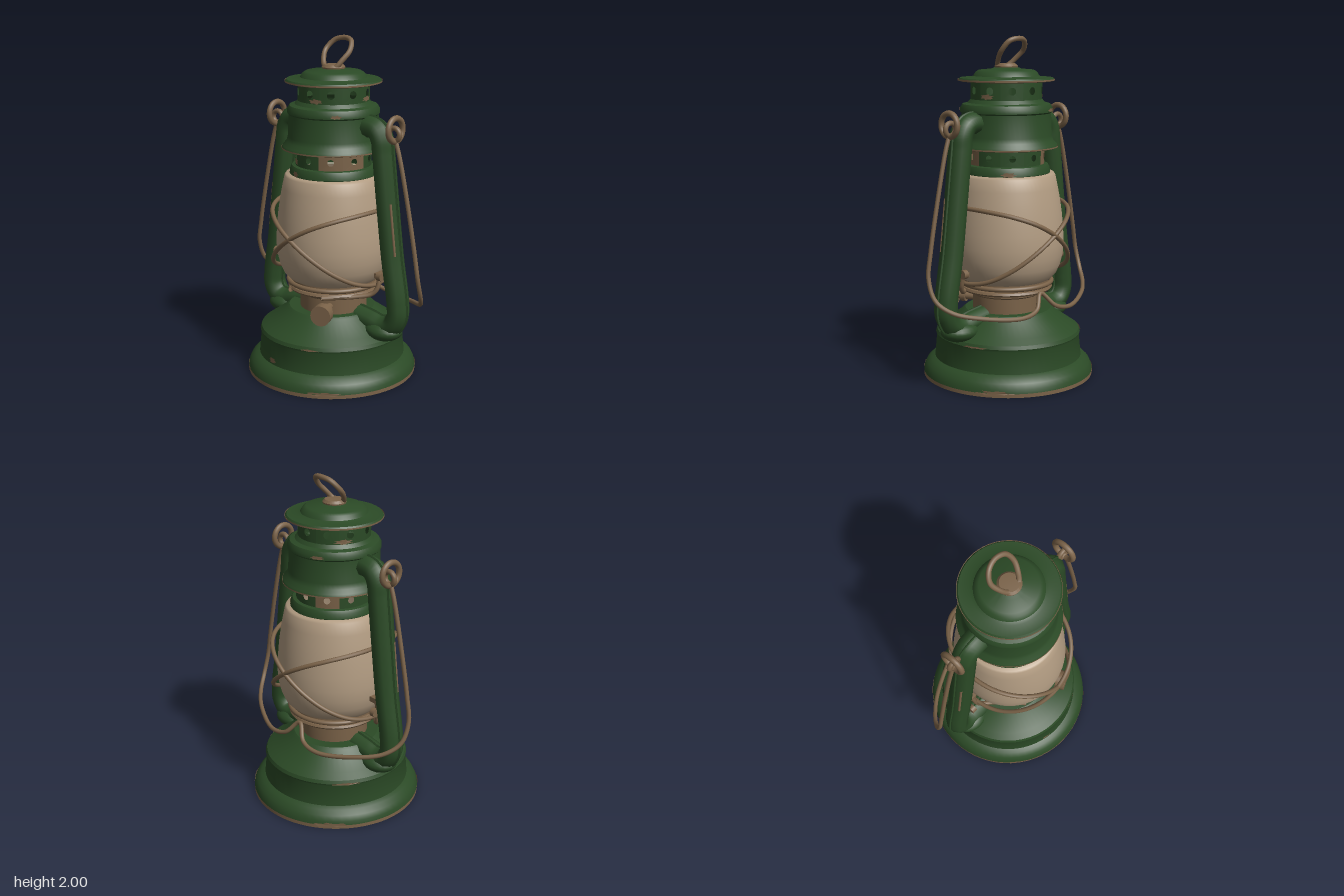
import * as THREE from 'three';
import { toCreasedNormals } from 'three/addons/utils/BufferGeometryUtils.js';

const material = (name, color) => {
  const m = new THREE.MeshStandardMaterial({ color, side: THREE.DoubleSide });
  m.name = name;
  return m;
};
const V = (x, y, z = 0) => new THREE.Vector3(x, y, z);

export function createModel() {
  const green = material('green paint', 0x2b4a26);
  const brown = material('worn metal', 0x7a6248);
  const frosted = material('frosted glass', 0xb29c82);

  const model = new THREE.Group();
  model.name = 'lantern';
  const body = new THREE.Group();
  body.name = 'lanternBody';
  body.position.x = -0.008;
  model.add(body);

  const add = (name, geometry, mat, parent = body) => {
    const mesh = new THREE.Mesh(geometry, mat);
    mesh.name = name;
    parent.add(mesh);
    return mesh;
  };
  const turned = (name, profile, mat, parent = body, crease = 0.55) => {
    const lathe = new THREE.LatheGeometry(profile.map(([r, y]) => new THREE.Vector2(r, y)), 64);
    return add(name, toCreasedNormals(lathe, crease), mat, parent);
  };
  const wire = (name, points, radius, closed = false, mat = brown, parent = body) => {
    const curve = new THREE.CatmullRomCurve3(points, closed, 'centripetal');
    return add(name, new THREE.TubeGeometry(curve, points.length * 9, radius, 10, closed), mat, parent);
  };

  // Fuel tank with worn bottom rim
  const tank = new THREE.Group();
  tank.name = 'fuelTank';
  tank.position.x = -0.014;
  body.add(tank);
  turned('tankRim', [[0.485, 0], [0.506, 0], [0.506, 0.022]], brown, tank);
  turned('tank', [[0, 0.004], [0.485, 0.004], [0.485, 0.01], [0.506, 0.022], [0.502, 0.045], [0.488, 0.075],
    [0.462, 0.1], [0.438, 0.112], [0.426, 0.24], [0.432, 0.255], [0.424, 0.275], [0.385, 0.302],
    [0.285, 0.372], [0.268, 0.39], [0.255, 0.4], [0, 0.404]], green, tank);

  // Burner under the globe
  turned('burner', [[0.2, 0.39], [0.2, 0.49], [0.215, 0.5], [0.215, 0.515], [0.265, 0.52], [0.272, 0.53],
    [0.265, 0.542], [0.225, 0.545], [0.235, 0.565], [0.255, 0.572], [0.255, 0.582], [0, 0.582]], brown);

  // Glass globe
  turned('globe', [[0.235, 0.572], [0.268, 0.588], [0.298, 0.62], [0.32, 0.67], [0.334, 0.73], [0.34, 0.8],
    [0.336, 0.88], [0.328, 0.97], [0.315, 1.06], [0.302, 1.13], [0.287, 1.2], [0.278, 1.212], [0.22, 1.214]],
  frosted, body, 1);
  turned('globeCollar', [[0.25, 1.205], [0.257, 1.215], [0.253, 1.245], [0.243, 1.262], [0.218, 1.266]], green);

  // Perforated bands: each cell wraps a plane around one round hole
  const perforated = (name, r, yMid, halfHeight, holeRadius, wornCells) => {
    const band = new THREE.Group();
    band.name = name;
    body.add(band);
    const halfWidth = r * Math.PI / 10;
    for (let i = 0; i < 10; i++) {
      const g = new THREE.PlaneGeometry(1, 1, 32, 2);
      const p = g.attributes.position;
      for (let k = 0; k < p.count; k++) {
        const t = (p.getX(k) + 0.5) * 4, side = Math.floor(t + 1e-6) % 4, f = (t % 1) * 2 - 1;
        const [sx, sy] = [[f, -1], [1, f], [-f, 1], [-1, -f]][side];
        const ex = sx * halfWidth, ey = sy * halfHeight;
        const hole = holeRadius / Math.hypot(ex, ey);
        const s = THREE.MathUtils.lerp(hole, 1, p.getY(k) + 0.5);
        const a = i * Math.PI / 5 + ex * s / r;
        p.setXYZ(k, Math.sin(a) * r, yMid + ey * s, Math.cos(a) * r);
      }
      g.computeVertexNormals();
      add('bandCell', g, wornCells.includes(i) ? brown : green, band);
    }
  };
  perforated('lowerVentBand', 0.222, 1.312, 0.052, 0.019, [1, 2, 6]);
  perforated('upperVentBand', 0.208, 1.692, 0.056, 0.022, []);

  // Hood with flared skirt
  turned('hood', [[0.218, 1.36], [0.29, 1.362], [0.3, 1.368], [0.295, 1.38], [0.274, 1.402], [0.266, 1.43],
    [0.26, 1.56], [0.268, 1.568], [0.268, 1.59], [0.255, 1.612], [0.225, 1.62], [0.208, 1.64]], green);
  turned('hoodEdge', [[0.288, 1.358], [0.302, 1.362], [0.302, 1.37]], brown);

  // Chimney cap
  turned('cap', [[0.205, 1.738], [0.272, 1.744], [0.278, 1.752], [0.27, 1.762], [0.21, 1.765], [0.192, 1.772],
    [0.178, 1.795], [0.16, 1.806], [0.09, 1.812], [0.07, 1.82], [0, 1.822]], green);
  turned('capEdge', [[0.268, 1.742], [0.281, 1.746], [0.281, 1.755]], brown);

  // Lifting ring on the cap, leaning backwards
  turned('ringSeat', [[0.065, 1.812], [0.068, 1.828], [0.055, 1.842], [0, 1.845]], brown);
  wire('liftingRing', [V(-0.04, 1.83, 0.03), V(-0.075, 1.87, 0), V(-0.095, 1.92, -0.045), V(-0.06, 1.972, -0.085),
    V(0, 1.986, -0.1), V(0.06, 1.972, -0.085), V(0.082, 1.92, -0.045), V(0.065, 1.87, 0), V(0.04, 1.83, 0.03),
    V(0, 1.825, 0.045)], 0.015, true);

  // Air tubes, seams, pivots and brackets on both sides
  for (const s of [1, -1]) {
    const side = new THREE.Group();
    side.name = s > 0 ? 'leftFrame' : 'rightFrame';
    body.add(side);
    const path = [V(0.2, 1.5), V(0.27, 1.515), V(0.325, 1.5), V(0.357, 1.45), V(0.368, 1.37), V(0.4, 1.1),
      V(0.44, 0.78), V(0.482, 0.52), V(0.482, 0.43), V(0.445, 0.37), V(0.38, 0.35), V(0.3, 0.365), V(0.2, 0.38)]
      .map((p) => V(p.x * s, p.y));
    wire('airTube', path, 0.063, false, green, side).scale.z = 1.15;
    wire('tubeSeam', path, 0.071, false, green, side).scale.z = 0.16;
    // Worn strip along the outer front edge of the tube
    wire('wornStrip', [V(0.448, 1.1, 0.038), V(0.484, 0.8, 0.038)].map((p) => V(p.x * s, p.y, p.z)),
      0.008, false, brown, side);
    // Foot fairing on the tank
    const foot = add('tubeFoot', new THREE.SphereGeometry(1, 24, 12), green, side);
    foot.scale.set(0.12, 0.06, 0.1);
    foot.position.set(0.38 * s, 0.325, 0);

    const lug = add('pivotLug', new THREE.TorusGeometry(0.036, 0.015, 10, 24), brown, side);
    lug.position.set(0.44 * s, 1.49, 0);
    const eye = add('bailEye', new THREE.TorusGeometry(0.066, 0.017, 10, 28), brown, side);
    eye.rotation.y = Math.PI / 2;
    eye.position.set(0.448 * s, 1.515, 0);

    // Bracket for the globe lifter
    const y = s > 0 ? 0.655 : 0.725;
    const bracket = add('lifterBracket', new THREE.BoxGeometry(0.1, 0.03, 0.07), brown, side);
    bracket.position.set(0.385 * s, y, 0);
    for (const z of [-0.06, 0.06]) {
      const stud = add('bracketStud', new THREE.CylinderGeometry(0.026, 0.026, 0.03, 16), brown, side);
      stud.rotation.z = Math.PI / 2;
      stud.position.set(0.4 * s, 0.67, z);
    }
    wire('lifterArm', [V(0.35 * s, y, 0), V(0.347 * s, y - 0.08, 0.02), V(0.32 * s, 0.54, 0.04),
      V(0.25 * s, 0.525, 0.1), V(0.12 * s, 0.525, 0.25)], 0.014, false, brown, side);
  }

  // Crossed guard wires: two tilted oval hoops
  for (const s of [1, -1]) {
    const points = [];
    for (let i = 0; i < 16; i++) {
      const a = i * Math.PI / 8, x = Math.sin(a);
      points.push(V(0.33 * x, 0.885 + 0.22 * x * s - 0.07 * x * x, 0.39 * Math.cos(a)));
    }
    wire('guardWire', points, 0.013, true);
  }
  const ring = add('guardRing', new THREE.TorusGeometry(0.268, 0.014, 10, 48), brown);
  ring.rotation.x = Math.PI / 2;
  ring.position.y = 0.565;

  // Carrying bail hanging behind the lantern
  const half = [V(0.448, 1.46, 0), V(0.48, 1.36, 0), V(0.54, 1.1, 0), V(0.595, 0.82, 0), V(0.617, 0.67, -0.005),
    V(0.607, 0.55, -0.05), V(0.55, 0.485, -0.125), V(0.43, 0.45, -0.22), V(0.2, 0.425, -0.325), V(0.08, 0.45, -0.325)];
  wire('bail', [...half, V(0, 0.53, -0.28), ...half.map((p) => V(-p.x, p.y, p.z)).reverse()], 0.013);

  // Wick knob and shaft
  const knob = new THREE.Group();
  knob.name = 'wickKnob';
  knob.position.set(0.11, 0.45, 0.17);
  knob.rotation.y = 0.4;
  body.add(knob);
  for (const [name, r, len, z] of [['shaft', 0.022, 0.15, 0.05], ['shaftNut', 0.035, 0.03, 0.06], ['knobDisc', 0.06, 0.06, 0.14]]) {
    const part = add(name, new THREE.CylinderGeometry(r, r, len, 24), brown, knob);
    part.rotation.x = Math.PI / 2;
    part.position.z = z;
  }

  // Paint chips: thin ragged patches (radius, height, angle, half width, half height)
  const chip = (r, y, angle, w, h, parent) => {
    const g = new THREE.CircleGeometry(1, 14), p = g.attributes.position;
    for (let k = 0; k < p.count; k++) {
      const ragged = 1 + 0.3 * Math.sin((k % 14) * 2.7 + angle * 5);
      const a = angle + p.getX(k) * ragged * w / r;
      p.setXYZ(k, Math.sin(a) * r, y + p.getY(k) * ragged * h, Math.cos(a) * r);
    }
    g.computeVertexNormals();
    add('paintChip', g, brown, parent);
  };
  [[0.437, 0.135, -0.22, 0.03, 0.016], [0.508, 0.024, -0.75, 0.08, 0.015], [0.508, 0.026, 0.6, 0.1, 0.012],
    [0.508, 0.024, 2.2, 0.09, 0.014], [0.508, 0.024, 3.9, 0.1, 0.014], [0.435, 0.258, 0.4, 0.05, 0.006],
    [0.435, 0.258, 1.9, 0.07, 0.006], [0.435, 0.256, 4.1, 0.08, 0.007]].forEach((c) => chip(...c, tank));
  [[0.211, 1.655, 0.2, 0.04, 0.013], [0.211, 1.66, 1.8, 0.04, 0.014], [0.211, 1.655, 4.2, 0.05, 0.013],
    [0.258, 1.23, -0.3, 0.025, 0.016], [0.258, 1.225, 2.4, 0.04, 0.014], [0.271, 1.58, 0.75, 0.03, 0.01],
    [0.271, 1.58, 3.6, 0.04, 0.01], [0.224, 1.29, -0.6, 0.03, 0.02]].forEach((c) => chip(...c, body));

  return model;
}
